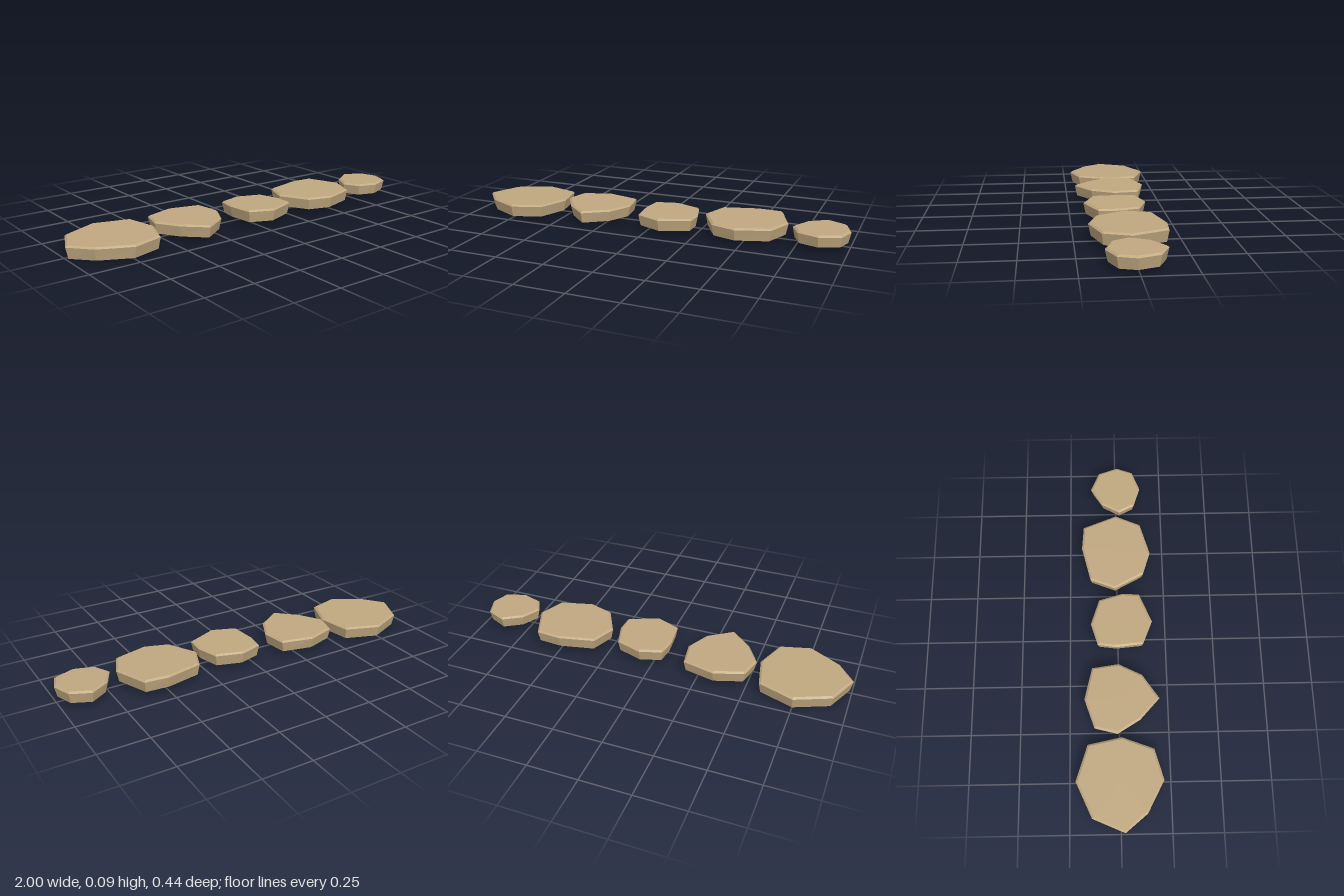
import * as THREE from 'three';

// Each stone: outline [x, z] clockwise from above, base height, top height, tilt along x and z
const STONES = [
  { name: 'largeStone', y0: 0.006, y1: 0.07, tilt: [0.013, 0.012],
    outline: [[-1, 0.02], [-0.93, -0.14], [-0.75, -0.22], [-0.57, -0.16], [-0.535, 0.01], [-0.595, 0.17], [-0.75, 0.215], [-0.91, 0.13]] },
  { name: 'pointedStone', y0: 0.018, y1: 0.08, tilt: [-0.005, 0.003],
    outline: [[-0.52, -0.01], [-0.49, -0.125], [-0.34, -0.175], [-0.175, -0.135], [-0.155, 0], [-0.215, 0.12], [-0.34, 0.205], [-0.45, 0.105]] },
  { name: 'middleStone', y0: 0.019, y1: 0.083, tilt: [-0.01, 0.006],
    outline: [[-0.065, -0.01], [-0.05, -0.105], [0.065, -0.14], [0.2, -0.095], [0.235, 0.025], [0.23, 0.115], [0.075, 0.18], [-0.05, 0.13]] },
  { name: 'wideStone', y0: 0.023, y1: 0.087, tilt: [0.009, -0.01],
    outline: [[0.265, -0.01], [0.315, -0.14], [0.5, -0.185], [0.625, -0.175], [0.695, 0], [0.64, 0.13], [0.47, 0.18], [0.345, 0.14]] },
  { name: 'smallStone', y0: 0.025, y1: 0.086, tilt: [0.004, -0.008],
    outline: [[0.72, 0.02], [0.77, -0.075], [0.865, -0.135], [0.965, -0.09], [1, 0.01], [0.97, 0.095], [0.865, 0.135], [0.76, 0.1]] },
];

// Slab with sides tapering to the base and a thin bevel around the top
function stoneGeometry({ outline, y0, y1, tilt }) {
  const n = outline.length;
  const cx = outline.reduce((s, p) => s + p[0], 0) / n;
  const cz = outline.reduce((s, p) => s + p[1], 0) / n;
  const point = (dx, dz, y) => [cx + dx, y + dx * tilt[0] + dz * tilt[1], cz + dz];
  const ring = (inset, y) => outline.map(([x, z]) => {
    const dx = x - cx, dz = z - cz;
    const k = 1 - inset / Math.hypot(dx, dz);
    return point(dx * k, dz * k, y);
  });
  const rings = [ring(0.012, y0), ring(0, y1 - 0.008), ring(0.011, y1)];
  const bottom = point(0, 0, y0), top = point(0, 0, y1);
  const pos = [];
  for (let i = 0; i < n; i++) {
    const j = (i + 1) % n;
    for (let r = 0; r < 2; r++) {
      const lo = rings[r], hi = rings[r + 1];
      pos.push(...lo[i], ...hi[i], ...lo[j], ...lo[j], ...hi[i], ...hi[j]);
    }
    pos.push(...top, ...rings[2][j], ...rings[2][i]);
    pos.push(...bottom, ...rings[0][i], ...rings[0][j]);
  }
  const geometry = new THREE.BufferGeometry();
  geometry.setAttribute('position', new THREE.Float32BufferAttribute(pos, 3));
  geometry.computeVertexNormals();
  return geometry;
}

export function createModel() {
  const group = new THREE.Group();
  group.name = 'steppingStones';
  const sandstone = new THREE.MeshStandardMaterial({ color: 0xc0a880, flatShading: true });
  sandstone.name = 'sandstone';
  for (const stone of STONES) {
    const mesh = new THREE.Mesh(stoneGeometry(stone), sandstone);
    mesh.name = stone.name;
    group.add(mesh);
  }
  return group;
}
